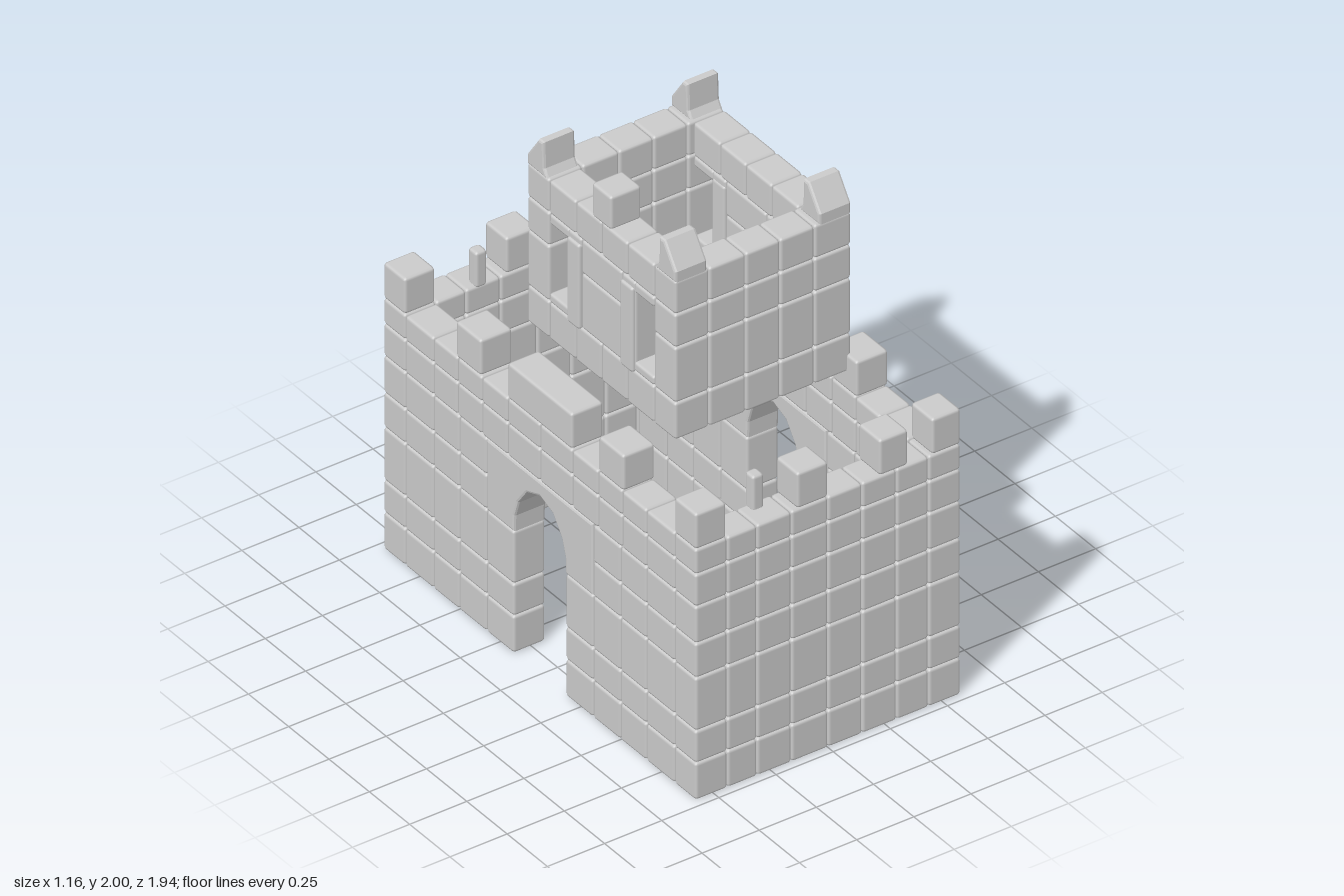
import * as THREE from 'three';
import { RoundedBoxGeometry } from 'three/addons/geometries/RoundedBoxGeometry.js';

const stone = new THREE.MeshStandardMaterial({ color: 0xcccccc });

function section(parent, name) {
  const g = new THREE.Group();
  g.name = name;
  parent.add(g);
  return g;
}

// One softened stone block given by its limits on each axis
function block(parent, name, [x0, x1], [y0, y1], [z0, z1]) {
  const w = Math.abs(x1 - x0), h = Math.abs(y1 - y0), d = Math.abs(z1 - z0);
  const radius = Math.min(0.013, Math.min(w, h, d) * 0.3);
  const mesh = new THREE.Mesh(new RoundedBoxGeometry(w, h, d, 1, radius), stone);
  mesh.position.set((x0 + x1) / 2, (y0 + y1) / 2, (z0 + z1) / 2);
  mesh.name = name;
  parent.add(mesh);
}

// Neighbouring pairs of a list of joint positions
const spans = (a) => a.slice(1).map((v, i) => [a[i], v]);

// Grid of blocks in a wall running along x
function wallAlongX(parent, cols, rows, z) {
  for (const y of spans(rows)) for (const x of spans(cols)) block(parent, 'wallBlock', x, y, z);
}

// Grid of blocks in a wall running along z
function wallAlongZ(parent, x, rows, cols) {
  for (const y of spans(rows)) for (const z of spans(cols)) block(parent, 'wallBlock', x, y, z);
}

// Bevelled (z, y) outline extruded from x0 to x1
function profileBlock(parent, name, points, [x0, x1]) {
  const b = 0.01;
  const shape = new THREE.Shape(points.map(([z, y]) => new THREE.Vector2(z, y)));
  const geo = new THREE.ExtrudeGeometry(shape, {
    depth: x1 - x0 - 2 * b, bevelThickness: b, bevelSize: b, bevelOffset: -b, bevelSegments: 2,
  });
  geo.rotateY(-Math.PI / 2);
  geo.translate(x1 - b, 0, 0);
  const mesh = new THREE.Mesh(geo, stone);
  mesh.name = name;
  parent.add(mesh);
}

function buildLowerWalls(root) {
  const rows = [0, 0.16, 0.3, 0.53, 0.68, 0.84, 0.98, 1.09];
  const xCols = [-0.58, -0.44, -0.31, -0.16, 0, 0.15, 0.3, 0.44, 0.58];
  const merlonY = [1.09, 1.245];

  // Front and back walls with their battlements
  for (const s of [1, -1]) {
    const end = section(root, s > 0 ? 'frontWall' : 'backWall');
    const z = [s * 0.835, s * 0.97];
    wallAlongX(end, xCols, rows, z);
    for (const x of [[-0.58, -0.445], [-0.135, 0], [0.225, 0.35], [0.455, 0.58]])
      block(end, 'merlon', x, merlonY, z);
    block(end, 'smallPost', [-0.27, -0.22], [1.08, 1.235], [s * 0.832, s * 0.885]);
  }

  // Side walls with an arched gateway in each
  for (const s of [1, -1]) {
    const side = section(root, s > 0 ? 'leftWall' : 'rightWall');
    const x = s > 0 ? [0.44, 0.58] : [-0.58, -0.44];
    for (const m of [1, -1]) {
      wallAlongZ(side, x, rows.slice(0, 4), [0.835, 0.66, 0.5, 0.33, 0.16].map((z) => z * m));
      wallAlongZ(side, x, rows.slice(3, 6), [0.835, 0.66, 0.5, 0.33].map((z) => z * m));
      block(side, 'merlon', x, merlonY, [0.365 * m, 0.52 * m]);
    }
    wallAlongZ(side, x, rows.slice(5),
      [-0.835, -0.66, -0.51, -0.36, -0.2, 0, 0.2, 0.36, 0.51, 0.66, 0.835]);
    block(side, 'merlon', x, merlonY, [-0.2, 0.2]);

    const half = [[0.33, 0.84], [0.33, 0.53], [0.16, 0.53], [0.157, 0.6], [0.135, 0.67], [0.08, 0.745]];
    const arch = [...half, [0, 0.775], ...half.map(([z, y]) => [-z, y]).reverse()];
    profileBlock(side, 'gateArch', arch, x);
  }
}

function buildTower(root) {
  const tower = section(root, 'tower');
  const rows = [1.17, 1.33, 1.57, 1.715, 1.86];
  const xCols = [-0.31, -0.16, 0, 0.15, 0.3, 0.46];

  // Solid front and back
  for (const s of [1, -1]) {
    const end = section(tower, s > 0 ? 'towerFront' : 'towerBack');
    wallAlongX(end, xCols, rows, [s * 0.325, s * 0.46]);
  }

  // Windowed sides
  for (const s of [1, -1]) {
    const side = section(tower, s > 0 ? 'towerLeft' : 'towerRight');
    const x = s > 0 ? [0.32, 0.46] : [-0.31, -0.17];
    const cols = [-0.325, -0.16, 0, 0.16, 0.325];
    wallAlongZ(side, x, [1.17, 1.33], cols);
    wallAlongZ(side, x, [1.715, 1.86], cols);
    wallAlongZ(side, x, [1.33, 1.57, 1.715], [-0.125, 0.125]);
    for (const m of [1, -1]) {
      const window = [0.2 * m, 0.325 * m];
      block(side, 'windowSill', x, [1.33, 1.37], window);
      block(side, 'windowLintel', x, [1.67, 1.715], window);
      block(side, 'windowJamb', x, [1.33, 1.715], [0.125 * m, 0.21 * m]);
      // Thin pilaster standing slightly proud of the jamb
      const proud = s > 0 ? [0.315, 0.47] : [-0.32, -0.165];
      block(side, 'windowPilaster', proud, [1.32, 1.69], [0.125 * m, 0.205 * m]);

      // Corner merlon with a sloped outer face
      const horn = [[0.46, 1.855], [0.46, 1.9], [0.39, 2], [0.36, 2], [0.355, 1.89], [0.335, 1.855]];
      profileBlock(side, 'cornerMerlon', horn.map(([z, y]) => [z * m, y]), x);
    }
  }
  block(tower, 'middleMerlon', [-0.31, -0.175], [1.855, 2], [-0.06, 0.06]);
}

export function createModel() {
  const castle = new THREE.Group();
  castle.name = 'castle';
  buildLowerWalls(castle);
  buildTower(castle);
  return castle;
}
